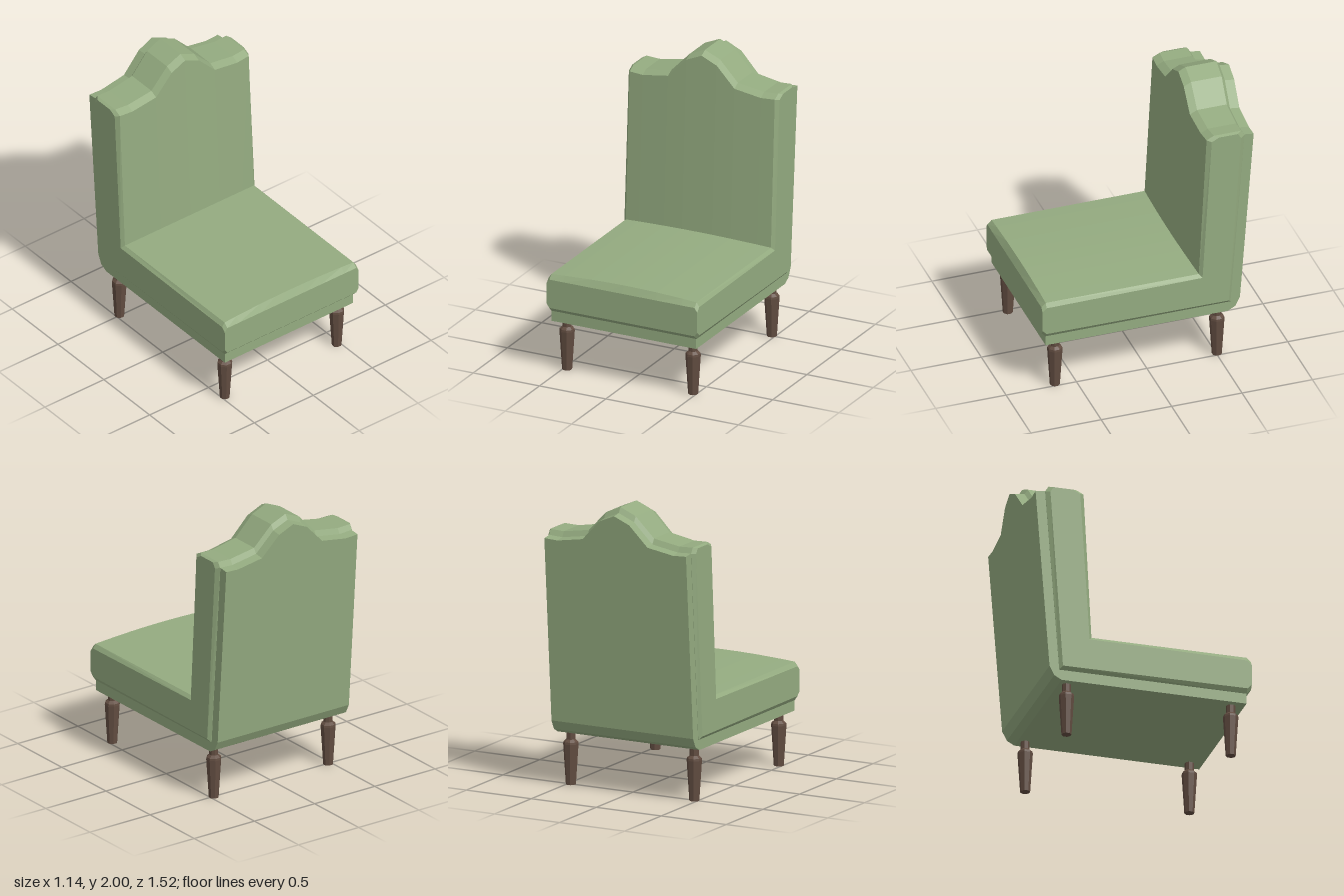
import * as THREE from 'three';

// crest height of the backrest by distance from the middle
const CREST = [[0, 2], [0.115, 1.95], [0.25, 1.81], [0.445, 1.777], [0.545, 1.782], [0.57, 1.772]];
function crest(x) {
  const a = Math.abs(x);
  for (let i = 1; i < CREST.length; i++) {
    const [x0, y0] = CREST[i - 1], [x1, y1] = CREST[i];
    if (a <= x1) return y0 + (y1 - y0) * (a - x0) / (x1 - x0);
  }
  return CREST[CREST.length - 1][1];
}

const mirrored = (half) => [...half.slice(1).reverse().map((x) => -x), ...half];

// Loft closed rings: each station maps x to a padded-side point and a rear-side point, both [z, y].
// The outermost column is pulled in by 'bevel' along the thickness.
function loft(columns, stations, bevel) {
  const n = columns.length;
  const pos = [], idx = [];
  for (const station of stations) {
    const front = [], rear = [];
    columns.forEach((x, i) => {
      const { f, r } = station(x);
      const len = Math.hypot(f[0] - r[0], f[1] - r[1]);
      const k = i === 0 || i === n - 1 ? bevel / len : 0;
      const mix = (a, b) => [x, a[1] + (b[1] - a[1]) * k, a[0] + (b[0] - a[0]) * k];
      front.push(mix(f, r));
      rear.unshift(mix(r, f));
    });
    pos.push(...front.flat(), ...rear.flat());
  }
  const m = 2 * n;
  const quad = (a, b, c, d) => idx.push(a, b, c, a, c, d);
  for (let s = 0; s < stations.length - 1; s++) {
    for (let i = 0; i < m; i++) {
      const j = (i + 1) % m;
      quad(s * m + i, s * m + j, (s + 1) * m + j, (s + 1) * m + i);
    }
  }
  // end caps
  const e = (stations.length - 1) * m;
  for (let i = 0; i < n - 1; i++) {
    quad(i, m - 1 - i, m - 2 - i, i + 1);
    quad(e + i, e + i + 1, e + m - 2 - i, e + m - 1 - i);
  }
  const indexed = new THREE.BufferGeometry();
  indexed.setAttribute('position', new THREE.Float32BufferAttribute(pos, 3));
  indexed.setIndex(idx);
  const geo = indexed.toNonIndexed();
  geo.computeVertexNormals();
  return geo;
}

// leaning planes of the backrest
const padFront = (y) => -0.352 - (y - 0.71) * 0.053;
const padRear = (y) => -0.577 - (y - 0.45) * 0.076;
const shellRear = (y) => -0.645 - (y - 0.46) * 0.076;
const bow = (x) => 0.02 * (1 - Math.min(1, (x / 0.545) ** 2));

export function createModel() {
  const group = new THREE.Group();
  const fabric = new THREE.MeshStandardMaterial({ color: 0x94ab80 });
  fabric.name = 'greenFabric';
  const wood = new THREE.MeshStandardMaterial({ color: 0x624d41 });
  wood.name = 'darkWood';

  const add = (name, geo, mat) => {
    const mesh = new THREE.Mesh(geo, mat);
    mesh.name = name;
    group.add(mesh);
    return mesh;
  };

  // mitred L-shaped padding: seat front, mitre, then up to the crest
  const mitre = (x) => ({ f: [-0.352 + bow(x), 0.705 + bow(x)], r: [-0.577, 0.44] });
  const seatStations = [
    () => ({ f: [0.765, 0.675], r: [0.765, 0.47] }),
    (x) => ({ f: [0.735, 0.705 + bow(x)], r: [0.735, 0.44] }),
    mitre,
  ];
  const backStations = [
    mitre,
    (x) => {
      const y = crest(x) - 0.025;
      return { f: [padFront(y) + bow(x), y], r: [padRear(y), y - 0.012] };
    },
    (x) => {
      const y = crest(x);
      return { f: [padFront(y) + bow(x) - 0.05, y], r: [padRear(y) + 0.025, y] };
    },
  ];
  const padColumns = mirrored([0, 0.115, 0.25, 0.445, 0.547, 0.568]);
  add('seatCushion', loft(padColumns, seatStations, 0.03), fabric);
  add('backCushion', loft(padColumns, backStations, 0.03), fabric);

  // thin upholstered shell under the seat and behind the back
  const shellStations = [
    () => ({ f: [0.735, 0.46], r: [0.735, 0.367] }),
    () => ({ f: [-0.54, 0.46], r: [-0.56, 0.367] }),
    () => ({ f: [-0.56, 0.465], r: [-0.612, 0.395] }),
    () => ({ f: [-0.57, 0.475], r: [-0.645, 0.46] }),
    (x) => {
      const y = crest(x) - 0.035;
      return { f: [padRear(y) + 0.01, y], r: [shellRear(y), y - 0.01] };
    },
  ];
  add('shell', loft(mirrored([0, 0.115, 0.25, 0.445, 0.545]), shellStations, 0), fabric);

  // turned, faceted legs
  const profile = [[0, 0], [0.034, 0], [0.052, 0.28], [0.05, 0.295], [0.031, 0.312], [0.031, 0.38]]
    .map(([r, y]) => new THREE.Vector2(r, y));
  const legGeo = new THREE.LatheGeometry(profile, 8, Math.PI / 8).toNonIndexed();
  legGeo.computeVertexNormals();
  for (const [end, z] of [['front', 0.645], ['back', -0.505]]) {
    for (const [side, x] of [['Left', 0.475], ['Right', -0.475]]) {
      add(`${end}${side}Leg`, legGeo, wood).position.set(x, 0, z);
    }
  }
  return group;
}
